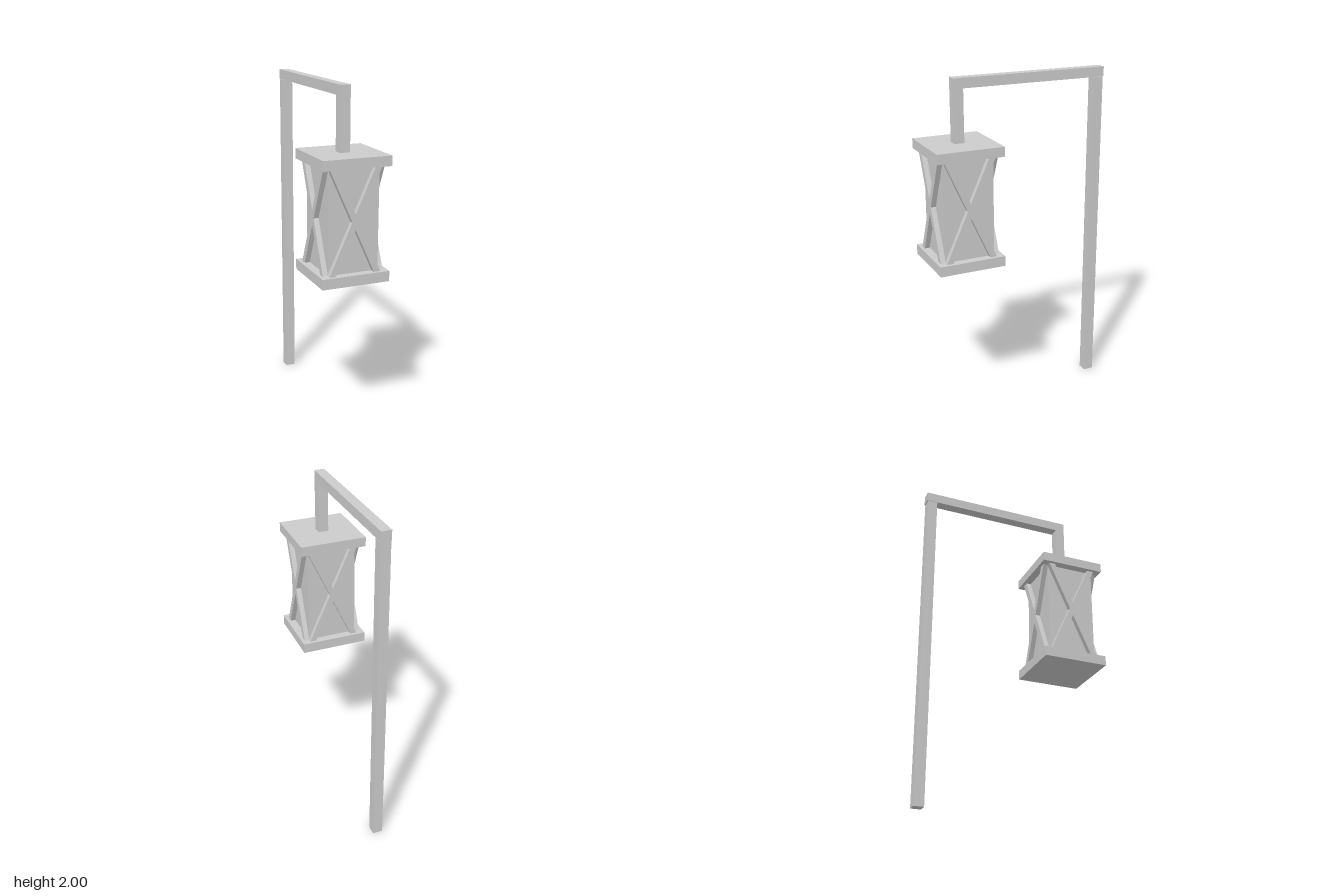
import * as THREE from 'three';

export function createModel() {
  const model = new THREE.Group();
  model.name = 'hangingLantern';
  const material = new THREE.MeshStandardMaterial({ color: 0xcccccc, flatShading: true });

  // Box given by its lower and upper y and z limits, centred on x
  function addBox(parent, name, width, y0, y1, z0, z1) {
    const mesh = new THREE.Mesh(new THREE.BoxGeometry(width, y1 - y0, z1 - z0), material);
    mesh.position.set(0, (y0 + y1) / 2, (z0 + z1) / 2);
    mesh.name = name;
    parent.add(mesh);
  }

  // Post, arm and hanger
  addBox(model, 'post', 0.06, 0, 1.94, -0.552, -0.492);
  addBox(model, 'arm', 0.06, 1.942, 2, -0.557, 0.388);
  addBox(model, 'hanger', 0.06, 1.635, 1.942, 0.33, 0.388);

  // Lantern, built around its own vertical axis
  const lantern = new THREE.Group();
  lantern.name = 'lantern';
  lantern.position.z = 0.358;
  model.add(lantern);
  const bottom = 0.99, top = 1.58, half = 0.15;
  addBox(lantern, 'basePlate', 0.4, 0.93, bottom, -0.199, 0.199);
  addBox(lantern, 'roofPlate', 0.4, top, 1.637, -0.199, 0.199);
  addBox(lantern, 'lanternBody', 2 * half, bottom, top, -half, half);

  // Diagonal brace, cut level at the plates; side is 1 or -1
  function braceGeometry(side) {
    const reach = 0.133 * side, w = 0.0195;
    const shape = new THREE.Shape([
      new THREE.Vector2(-reach - w, bottom),
      new THREE.Vector2(-reach + w, bottom),
      new THREE.Vector2(reach + w, top),
      new THREE.Vector2(reach - w, top),
    ]);
    return new THREE.ExtrudeGeometry(shape, { depth: 0.03, bevelEnabled: false }).translate(0, 0, half);
  }
  const braces = [1, -1].map(braceGeometry);

  // Crossed braces on all four faces
  for (let i = 0; i < 4; i++) {
    const cross = new THREE.Group();
    cross.name = 'crossBrace';
    cross.rotation.y = (i * Math.PI) / 2;
    for (const geometry of braces) {
      const brace = new THREE.Mesh(geometry, material);
      brace.name = 'brace';
      cross.add(brace);
    }
    lantern.add(cross);
  }
  return model;
}
